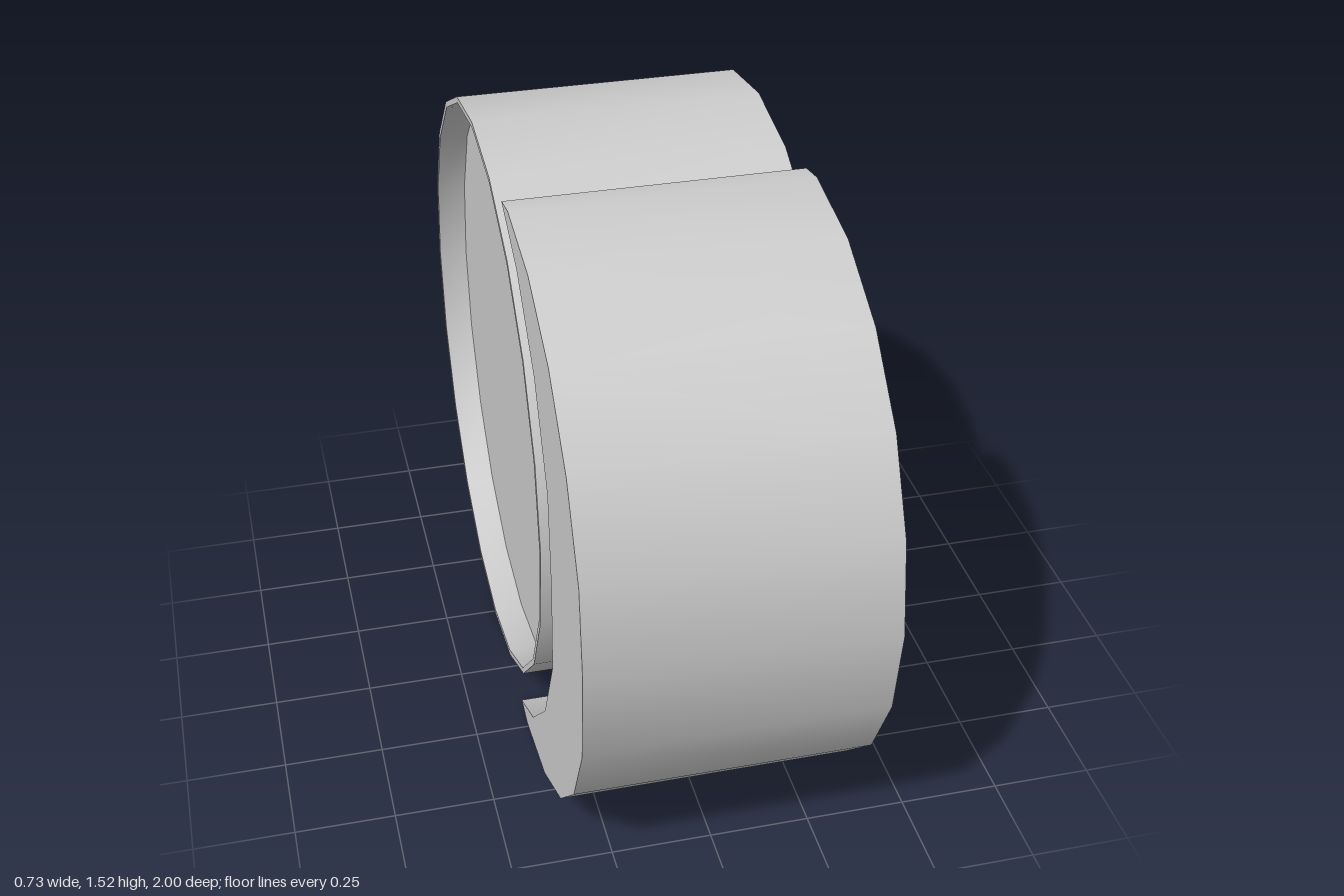
import * as THREE from 'three';
import { mergeGeometries, toCreasedNormals } from 'three/addons/utils/BufferGeometryUtils.js';

const R = 0.76, HALF = 0.363, DEPTH = 0.05, CREASE = 0.5;
const material = new THREE.MeshStandardMaterial({ color: 0xcccccc, side: THREE.DoubleSide });

// Closed loop from the upper halves [z, y] of its outer and inner arcs, both listed tip to middle
function crescentLoop(outer, inner) {
  const flip = ([z, y]) => [z, 2 * R - y];
  const pts = [
    ...outer,
    ...outer.slice(0, -1).reverse().map(flip),
    ...inner.slice(1, -1).map(flip),
    ...inner.slice(1).reverse(),
  ];
  return pts.map(([z, y]) => new THREE.Vector2(-z, y));
}

// Flat face at a given x, facing +x, or -x when flipped
function face(loop, x, hole, flipped) {
  const shape = new THREE.Shape(loop);
  if (hole) shape.holes.push(new THREE.Path(hole));
  const g = new THREE.ShapeGeometry(shape);
  if (flipped) g.index.array.reverse();
  g.rotateY(Math.PI / 2).translate(x, 0, 0);
  const flat = g.toNonIndexed();
  flat.deleteAttribute('uv');
  return flat;
}

// Wall swept along x around a loop; an anticlockwise loop faces outwards
function wall(loop, x0, x1) {
  const pos = [];
  loop.forEach((a, i) => {
    const b = loop[(i + 1) % loop.length];
    const q = [[x0, a.y, -a.x], [x0, b.y, -b.x], [x1, b.y, -b.x], [x1, a.y, -a.x]];
    for (const k of [0, 1, 2, 0, 2, 3]) pos.push(...q[k]);
  });
  const g = new THREE.BufferGeometry();
  g.setAttribute('position', new THREE.Float32BufferAttribute(pos, 3));
  g.computeVertexNormals();
  return g;
}

// Drum with a recessed cap at each end
function makeDrum() {
  const profile = [
    [0, -HALF + 0.075], [0.742, -HALF + 0.075], [0.745, -HALF], [R, -HALF],
    [R, HALF], [0.725, HALF], [0.725, HALF - DEPTH], [0, HALF - DEPTH],
  ].map(([r, h]) => new THREE.Vector2(r, h));
  const g = new THREE.LatheGeometry(profile, 20);
  g.rotateZ(-Math.PI / 2);
  const mesh = new THREE.Mesh(toCreasedNormals(g, CREASE), material);
  mesh.name = 'drum';
  mesh.position.set(0, R, -0.24);
  return mesh;
}

// Crescent shell with a recess on its +x end
function makeCrescent() {
  const arc = [[0.16, 1.505]];
  for (let i = 0; i <= 5; i++) {
    const a = (i * Math.PI) / 10;
    arc.push([0.24 + R * Math.sin(a), R + R * Math.cos(a)]);
  }
  const outline = crescentLoop(arc,
    [[0.16, 1.505], [0.33, 1.42], [0.51, 1.245], [0.63, 1.01], [0.66, R]]);
  const recess = crescentLoop(
    [[0.315, 1.455], [0.385, 1.467], [0.555, 1.425], [0.72, 1.31], [0.845, 1.165], [0.925, 0.98], [0.955, R]],
    [[0.315, 1.455], [0.44, 1.37], [0.58, 1.185], [0.67, 0.99], [0.7, R]]);
  const g = mergeGeometries([
    face(outline, HALF, recess),
    face(recess, HALF - DEPTH),
    face(outline, -HALF, null, true),
    wall(outline, -HALF, HALF),
    wall([...recess].reverse(), HALF - DEPTH, HALF),
  ]);
  // The middle of the shell is pulled in slightly at the -x end
  const p = g.attributes.position;
  for (let i = 0; i < p.count; i++) {
    if (p.getX(i) < -0.3 && Math.abs(p.getY(i) - R) < 0.01) p.setZ(i, p.getZ(i) - 0.015);
  }
  const mesh = new THREE.Mesh(toCreasedNormals(g, CREASE), material);
  mesh.name = 'crescentShell';
  return mesh;
}

export function createModel() {
  const model = new THREE.Group();
  model.name = 'drumAndCrescent';
  model.add(makeDrum(), makeCrescent());
  return model;
}
